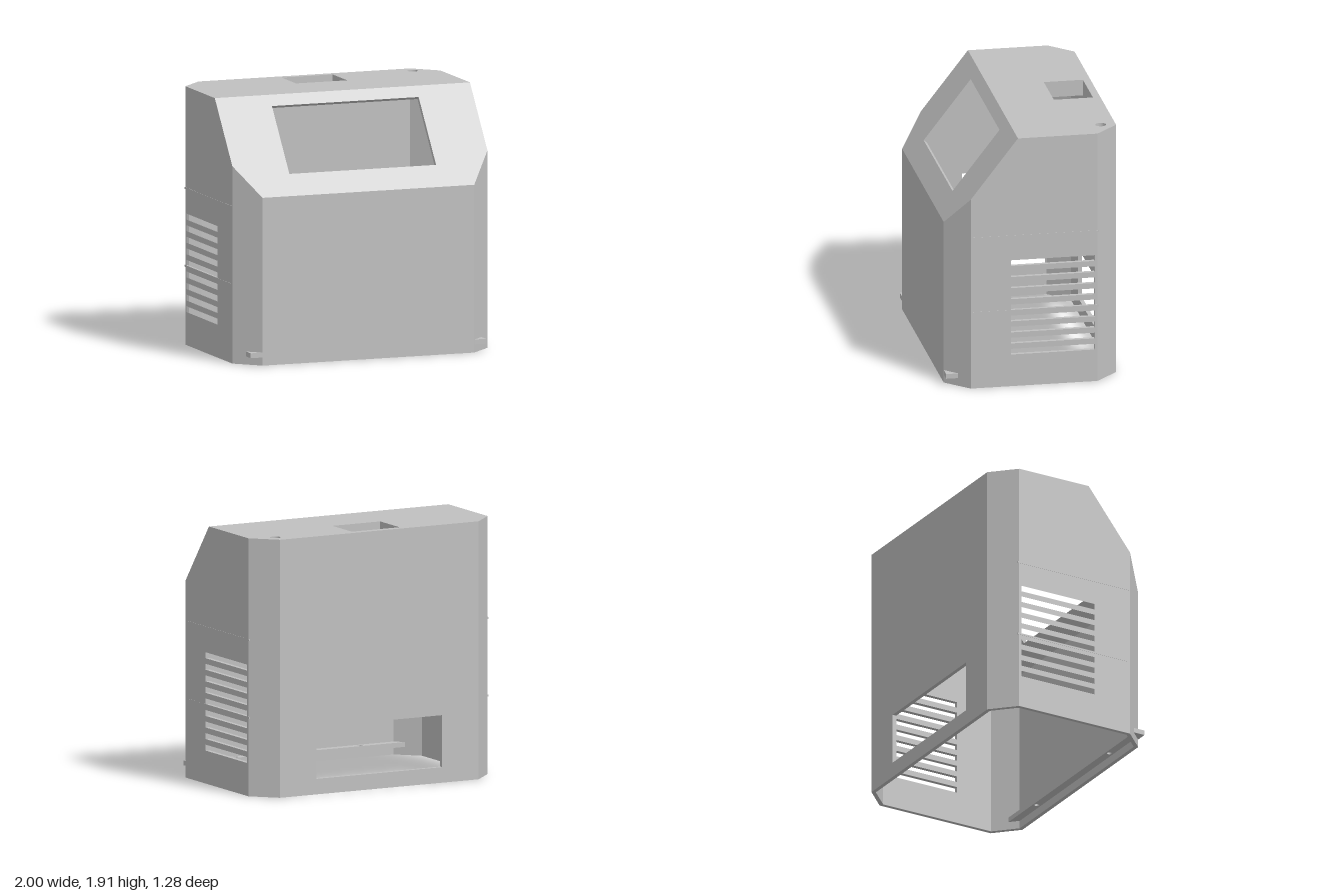
import * as THREE from 'three';

const grey = new THREE.MeshStandardMaterial({ color: 0xc0c0c0 });
grey.name = 'grey';

const W = 1, D = 0.64, CX = 0.83, CZ = 0.47; // half width, half depth, chamfer corners
const H = 1.91, WALL = 0.03;
const SLOPE_Y = 1.24, SLOPE_Z = 0.12;        // slope starts at the front, ends on the top
const rise = H - SLOPE_Y, run = D - SLOPE_Z, slopeLen = Math.hypot(rise, run);
const SHOULDER_Y = SLOPE_Y + (D - CZ) * rise / run;

const v3 = (x, y, z) => new THREE.Vector3(x, y, z);
const rect = (x0, y0, x1, y1) => [[x0, y0], [x1, y0], [x1, y1], [x0, y1]];
const toPoints = (list) => list.map(([x, y]) => new THREE.Vector2(x, y));

function circle(x, y, r) {
  return new THREE.Path().absarc(x, y, r, 0, Math.PI * 2, true).getPoints(24).slice(0, -1).map((p) => [p.x, p.y]);
}

// Flat panel drawn in (u, v) at an origin and thickened inwards from its outer face
function panel(name, origin, u, v, outline, holes = [], depth = WALL) {
  const shape = new THREE.Shape(toPoints(outline));
  holes.forEach((h) => shape.holes.push(new THREE.Path(toPoints(h))));
  const geo = new THREE.ExtrudeGeometry(shape, { depth, bevelEnabled: false });
  geo.translate(0, 0, -depth);
  const a = u.clone().normalize(), b = v.clone().normalize();
  geo.applyMatrix4(new THREE.Matrix4().makeBasis(a, b, a.clone().cross(b)).setPosition(origin));
  const mesh = new THREE.Mesh(geo, grey);
  mesh.name = name;
  return mesh;
}

export function createModel() {
  const model = new THREE.Group();
  model.name = 'enclosure';
  const X = v3(1, 0, 0), Y = v3(0, 1, 0), back = v3(0, 0, -1);

  // Front wall
  model.add(panel('frontWall', v3(0, 0, D), X, Y, rect(-CX, 0, CX, SLOPE_Y)));

  // Back wall with its wide opening
  model.add(panel('backWall', v3(0, 0, -D), v3(-1, 0, 0), Y,
    rect(-CX, 0, CX, H), [rect(-0.525, 0.115, 0.525, 0.5)]));

  // Sloping face with the display window
  const shoulder = (D - CZ) * slopeLen / run;
  model.add(panel('slopingFace', v3(0, SLOPE_Y, D), X, v3(0, rise, -run),
    [[-CX, 0], [CX, 0], [W, shoulder], [W, slopeLen], [-W, slopeLen], [-W, shoulder]],
    [rect(-0.575, 0.184, 0.575, 0.753)]));

  // Top with square opening and cable hole
  const opening = rect(-0.2, 0.295, 0.2, 0.585);
  model.add(panel('top', v3(0, H, 0), X, back,
    [[-W, -SLOPE_Z], [W, -SLOPE_Z], [W, CZ], [CX, D], [-CX, D], [-W, CZ]],
    [opening, circle(0.807, 0.53, 0.039)]));

  // Collar hanging below the square opening
  model.add(panel('openingCollar', v3(0, H - 0.01, 0), X, back,
    rect(-0.24, 0.255, 0.24, 0.625), [opening], 0.11));

  for (const s of [1, -1]) {
    const side = s > 0 ? 'left' : 'right';

    // Side wall with nine vent slots
    const slots = [];
    for (let i = 0; i < 9; i++) {
      const y = 0.244 + i * 0.0855;
      slots.push(rect(-0.17 * s, y, 0.45 * s, y + 0.044));
    }
    const profile = [[-CZ, 0], [CZ, 0], [CZ, H], [-SLOPE_Z, H], [-CZ, SHOULDER_Y]];
    model.add(panel(side + 'SideWall', v3(s * W, 0, 0), v3(0, 0, -s), Y,
      profile.map(([a, b]) => [a * s, b]), slots));

    // Chamfered corner walls
    const c = Math.hypot(W - CX, D - CZ);
    model.add(panel(side + 'FrontChamfer', v3(s * CX, 0, D), v3(W - CX, 0, s * (CZ - D)), Y,
      [[0, 0], [s * c, 0], [s * c, SHOULDER_Y], [0, SLOPE_Y]]));
    model.add(panel(side + 'BackChamfer', v3(s * CX, 0, -D), v3(CX - W, 0, s * (CZ - D)), Y,
      [[0, 0], [-s * c, 0], [-s * c, H], [0, H]]));

    // Two fine seam strips along the side
    for (const y of [0.582, 1.157]) {
      const strip = new THREE.Mesh(new THREE.BoxGeometry(0.016, 0.014, 0.935), grey);
      strip.name = side + 'SeamStrip';
      strip.position.set(s * 0.994, y, -0.0125);
      model.add(strip);
    }
  }

  // Mounting shelf inside the front wall, its ends poking out through the chamfers
  model.add(panel('mountingShelf', v3(0, 0.096, 0), X, back,
    rect(-0.923, -D + 0.001, 0.923, -0.55),
    [circle(-0.52, -0.58, 0.018), circle(0.52, -0.58, 0.018)], 0.036));

  return model;
}
